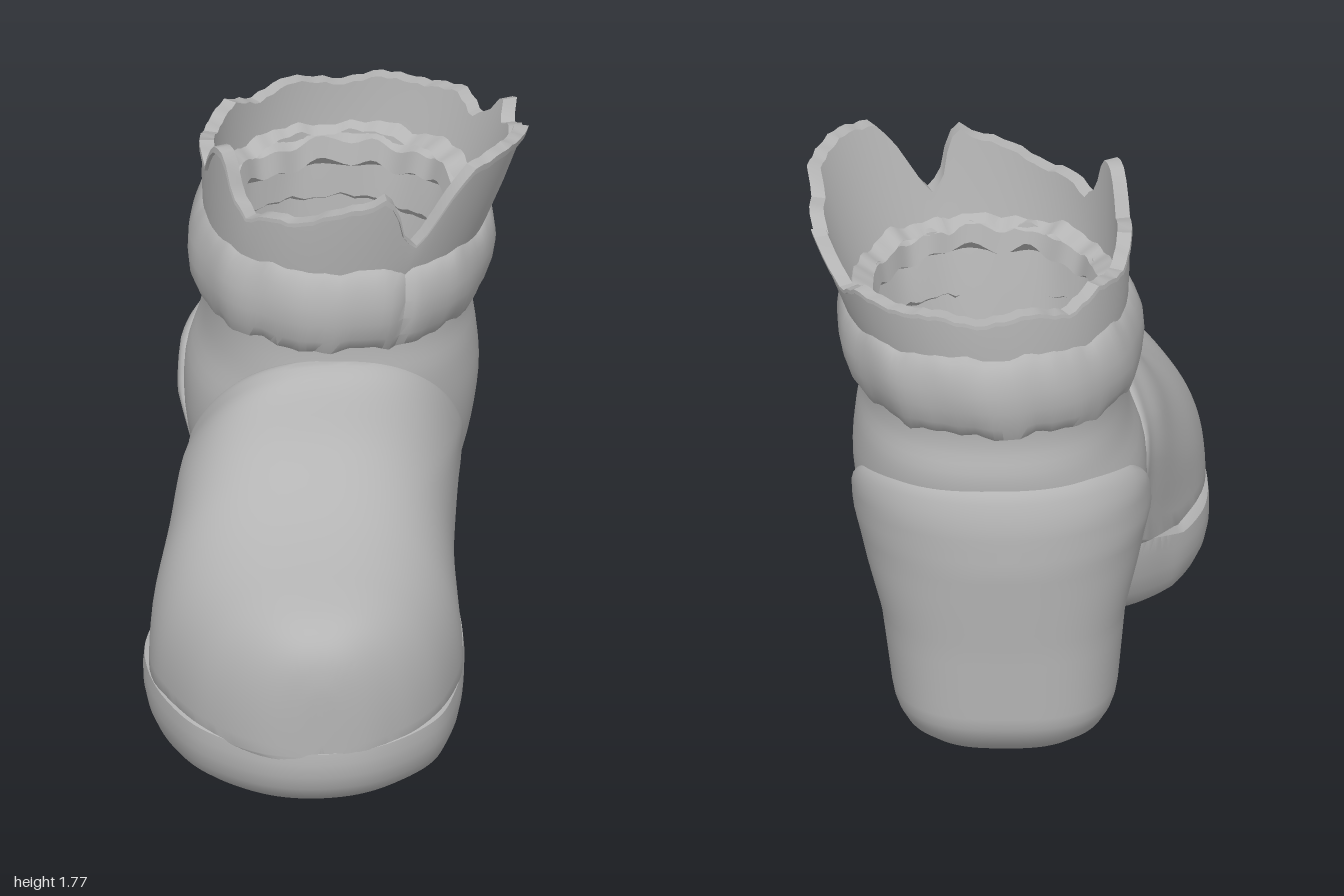
import * as THREE from 'three';
import { toCreasedNormals } from 'three/addons/utils/BufferGeometryUtils.js';

const N = 112;

// Piecewise linear lookup in [[key, value], ...] with rising keys
function lerpTable(t, k) {
  if (k <= t[0][0]) return t[0][1];
  for (let i = 1; i < t.length; i++) {
    if (k <= t[i][0]) {
      const f = (k - t[i - 1][0]) / (t[i][0] - t[i - 1][0]);
      return t[i - 1][1] + f * (t[i][1] - t[i - 1][1]);
    }
  }
  return t[t.length - 1][1];
}

// Skin a list of closed rings; rings rise while points run counter-clockwise
function loft(rings, { capStart = false, capEnd = false, crease = 0.7 } = {}) {
  const n = rings[0].length, pos = [], idx = [];
  rings.forEach(r => r.forEach(p => pos.push(...p)));
  for (let i = 0; i < rings.length - 1; i++) {
    for (let j = 0; j < n; j++) {
      const k = (j + 1) % n;
      const a = i * n + j, b = i * n + k, c = a + n, d = b + n;
      idx.push(a, b, d, a, d, c);
    }
  }
  const cap = (row, flip) => {
    const c = pos.length / 3;
    pos.push(...[0, 1, 2].map(q => rings[row].reduce((s, p) => s + p[q], 0) / n));
    for (let j = 0; j < n; j++) {
      const a = row * n + j, b = row * n + (j + 1) % n;
      idx.push(c, flip ? b : a, flip ? a : b);
    }
  };
  if (capStart) cap(0, true);
  if (capEnd) cap(rings.length - 1, false);
  const g = new THREE.BufferGeometry();
  g.setAttribute('position', new THREE.Float32BufferAttribute(pos, 3));
  g.setIndex(idx);
  return toCreasedNormals(g, crease);
}

const spow = (v, e) => Math.sign(v) * Math.abs(v) ** e;

// Horizontal rounded ring from its left, right, back and front limits
function ring(y, x0, x1, z0, z1, p = 2.3) {
  return Array.from({ length: N }, (_, j) => {
    const a = j / N * Math.PI * 2;
    return [(x0 + x1) / 2 + (x1 - x0) / 2 * spow(Math.sin(a), 2 / p), y,
      (z0 + z1) / 2 + (z1 - z0) / 2 * spow(Math.cos(a), 2 / p)];
  });
}

// Smoothly resample a table of section rows
function smoothRows(rows, count) {
  const out = [];
  for (let i = 0; i <= count; i++) {
    const t = i / count * (rows.length - 1), k = Math.min(Math.floor(t), rows.length - 2), f = t - k;
    out.push(rows[k].map((v, c) => {
      const a = rows[Math.max(k - 1, 0)][c], b = rows[k + 1][c], d = rows[Math.min(k + 2, rows.length - 1)][c];
      return v + 0.5 * f * (b - a + f * (2 * a - 5 * v + 4 * b - d + f * (3 * (v - b) + d - a)));
    }));
  }
  return out;
}

export function createModel() {
  const group = new THREE.Group();
  const grey = new THREE.MeshStandardMaterial({ color: 0xb4b4b4, side: THREE.DoubleSide });
  grey.name = 'clay grey';
  const add = (name, geo) => {
    const m = new THREE.Mesh(geo, grey);
    m.name = name;
    group.add(m);
  };

  // How far the seam between toe and sole climbs towards the back
  const seamRise = z => lerpTable([[-0.24, 0.14], [-0.1, 0.075], [0.04, 0.01], [0.2, 0]], z);

  // Rounded toe: sections from the instep to the tip [z, left, right, top, backward lean]
  const toeRows = [
    [-0.07, -0.41, 0.40, 1.03, 0.19], [-0.02, -0.465, 0.44, 1.09, 0.23], [0.04, -0.49, 0.435, 1.085, 0.22],
    [0.10, -0.535, 0.42, 1.045, 0.17], [0.20, -0.585, 0.395, 0.92, 0.10], [0.32, -0.62, 0.378, 0.83, 0.04],
    [0.45, -0.615, 0.36, 0.765, 0], [0.60, -0.575, 0.325, 0.718, 0], [0.75, -0.51, 0.265, 0.685, 0],
    [0.86, -0.43, 0.185, 0.655, 0], [0.93, -0.355, 0.10, 0.615, 0], [0.97, -0.285, 0.03, 0.56, 0],
    [0.99, -0.21, -0.04, 0.48, 0], [0.995, -0.16, -0.09, 0.40, 0]];
  add('toe', loft(smoothRows(toeRows, 52).map(([z, l, r, top, lean]) => {
    const seam = 0.24 + seamRise(z - lean);
    return Array.from({ length: N }, (_, j) => {
      const a = j / N * Math.PI * 2, s = Math.sin(a);
      const y = seam + (s > 0 ? (top - seam) * spow(s, 0.85 - lean * 0.55) : 0.06 * s);
      const back = lean * Math.min(Math.max((top - y) / 0.42, 0), 1);
      const waist = 1 - 0.7 * lean * Math.min(Math.max((0.75 - y) / 0.4, 0), 1);
      return [(l + r) / 2 + (r - l) / 2 * waist * spow(Math.cos(a), 0.8), y, z - back];
    });
  }), { capStart: true, capEnd: true }));

  // Sole band around the toe, rising and tucking in at the back
  const outline = new THREE.CatmullRomCurve3([
    [-0.12, 1.0], [0.06, 0.96], [0.25, 0.8], [0.33, 0.6], [0.365, 0.4], [0.38, 0.2], [0.37, 0], [0.33, -0.21],
    [0.05, -0.26], [-0.36, -0.21], [-0.52, -0.02], [-0.615, 0.2], [-0.625, 0.4], [-0.585, 0.6], [-0.49, 0.8], [-0.3, 0.96],
  ].map(([x, z]) => new THREE.Vector3(x, 0, z)), true).getPoints(N).slice(0, N);
  const soleRows = [[0.012, 0.80], [0.025, 0.87], [0.06, 0.945], [0.10, 0.98], [0.15, 1.0], [0.20, 1.003], [0.24, 0.995], [0.258, 0.95]];
  add('sole', loft(soleRows.map(([y, k]) => outline.map(p => {
    const low = 1 - y / 0.26;
    const z = p.z < 0 ? p.z * (1 - 0.5 * low) : p.z;
    return [-0.12 + (p.x + 0.12) * k,
      y + seamRise(p.z) * (y / 0.25) ** 2 + 0.02 * Math.max(p.z, 0) * low,
      0.37 + (z - 0.37) * k];
  })), { capStart: true, capEnd: true }));

  // Ankle: [y, left, right, back, front]
  const ankleRows = [[0.25, -0.33, 0.35, -0.8, -0.06], [0.45, -0.37, 0.385, -0.82, -0.04], [0.65, -0.43, 0.445, -0.87, -0.02],
    [0.85, -0.435, 0.478, -0.92, 0], [1.0, -0.39, 0.47, -0.94, 0.01], [1.12, -0.375, 0.45, -0.915, 0], [1.25, -0.38, 0.455, -0.92, 0]];
  add('ankle', loft(smoothRows(ankleRows, 24).map(r => ring(...r)), { capStart: true }));

  // Heel: wraps the back, with a top edge that climbs rearwards
  const heelTop = [[-1, 0.98], [-0.9, 0.96], [-0.75, 0.91], [-0.62, 0.82], [-0.5, 0.69], [-0.39, 0.46], [-0.33, 0.4], [-0.17, 0.33]];
  // Left, right, back and front limits by height
  const limits = [
    [[0, -0.27], [0.05, -0.33], [0.12, -0.35], [0.4, -0.375], [0.55, -0.415], [0.72, -0.455], [0.85, -0.45], [1, -0.41]],
    [[0, 0.28], [0.05, 0.335], [0.12, 0.355], [0.4, 0.39], [0.55, 0.435], [0.72, 0.478], [0.85, 0.49], [1, 0.48]],
    [[0, -0.87], [0.05, -0.93], [0.12, -0.965], [0.4, -0.975], [0.7, -0.998], [0.85, -0.99], [1, -0.95]],
    [[0, -0.21], [0.05, -0.17], [0.15, -0.18], [0.4, -0.2], [0.65, -0.07]]];
  const heelBase = ring(0, -0.37, 0.4, -0.98, -0.18, 2.8);
  const heelSteps = Array.from({ length: 24 }, (_, i) => [i / 25, 1])
    .concat([[0.96, 0.995], [0.985, 0.98], [1, 0.955], [1.005, 0.9]]);
  add('heel', loft(heelSteps.map(([f, inset]) => heelBase.map(([, , z], j) => {
    const y = 0.005 + f * (lerpTable(heelTop, z) - 0.005);
    const [l, r, b, t] = limits.map(table => lerpTable(table, y));
    const a = j / N * Math.PI * 2, e = 2 / lerpTable([[0.15, 2.8], [0.7, 2.15]], y);
    return [(l + r) / 2 + (r - l) / 2 * inset * spow(Math.sin(a), e), y,
      (b + t) / 2 + (t - b) / 2 * inset * spow(Math.cos(a), e)];
  })), { capStart: true, crease: 0.9 }));

  // Puffy cuff with ragged edges and a small seam
  const cuffRows = [[-0.11, 1.19, 1], [-0.075, 1.155, 1], [-0.035, 1.165, 1], [-0.012, 1.21, 0.5], [0, 1.27, 0.2], [0.002, 1.33, 0.2],
    [-0.01, 1.385, 0.4], [-0.03, 1.43, 0.8], [-0.06, 1.45, 1], [-0.12, 1.42, 1]];
  add('cuff', loft(cuffRows.map(([o, y, rag]) => Array.from({ length: N }, (_, j) => {
    const a = j / N * Math.PI * 2;
    const wave = Math.sin(9 * a + 1) + 0.7 * Math.sin(17 * a) + 0.6 * Math.sin(31 * a + 2);
    const off = o + 0.004 * Math.sin(11 * a + y * 9) - 0.02 * Math.exp(-(((a - 0.33) / 0.05) ** 2));
    return [0.05 + 0.12 * (y - 1.3) + (0.475 + off) * spow(Math.sin(a), 0.95),
      y + 0.007 * rag * wave - 0.015 * Math.cos(a), -0.457 + (0.535 + off) * spow(Math.cos(a), 0.95)];
  })), { crease: 0.9 }));

  // Torn collar: broken edge height by angle in degrees, front first
  const tear = [[0, 1.68], [4, 1.71], [8, 1.67], [12, 1.57], [20, 1.5], [28, 1.66], [34, 1.76], [50, 1.78], [75, 1.755], [79, 1.68],
    [87, 1.69], [98, 1.64], [104, 1.72], [109, 1.64], [120, 1.57], [132, 1.62], [150, 1.6], [168, 1.61], [180, 1.58], [200, 1.61],
    [216, 1.57], [232, 1.62], [250, 1.59], [268, 1.64], [280, 1.62], [288, 1.74], [297, 1.75], [303, 1.63], [312, 1.56],
    [322, 1.6], [335, 1.6], [348, 1.65], [360, 1.68]];
  const collarPoint = (a, y, inset) => {
    const h = y - 1.4;
    return [0.06 + 0.18 * h + (0.44 + 0.19 * h - inset) * spow(Math.sin(a), 0.93), y,
      -0.455 + 0.07 * h + (0.485 + 0.09 * h - inset) * spow(Math.cos(a), 0.93)];
  };
  const collarRow = (f, inset) => Array.from({ length: N }, (_, j) => {
    const top = lerpTable(tear, j / N * 360) + 0.004 * Math.sin(j * 2.3);
    return collarPoint(j / N * Math.PI * 2, 1.38 + f * (top - 1.38), inset);
  });
  add('tornCollar', loft([collarRow(0, 0), collarRow(0.5, -0.004), collarRow(0.93, 0), collarRow(0.94, -0.012),
    collarRow(1, -0.01), collarRow(1, 0.035), collarRow(0.5, 0.035), collarRow(0, 0.04)], { crease: 0.5 }));

  // Lining: ragged ledge, inner walls and insole
  const ledge = (y, inset, rag) => ring(y, -0.36 + inset, 0.48 - inset, -0.93 + inset, 0.02 - inset).map(([x, h, z], j) =>
    [x, h + rag * (Math.sin(j * 0.9) + Math.sin(j * 0.37)), z + rag * Math.sin(j * 0.61)]);
  add('lining', loft([ledge(1.42, 0, 0), ledge(1.4, 0.06, 0.012), ledge(1.33, 0.075, 0.012), ledge(1.3, 0.03, 0.005),
    ring(1.1, -0.33, 0.41, -0.88, -0.06), ring(0.75, -0.33, 0.4, -0.86, -0.12), ring(0.45, -0.26, 0.32, -0.79, -0.2, 2.6),
    ring(0.38, -0.2, 0.28, -0.76, -0.24, 2.8)], { capEnd: true, crease: 0.6 }));

  return group;
}
